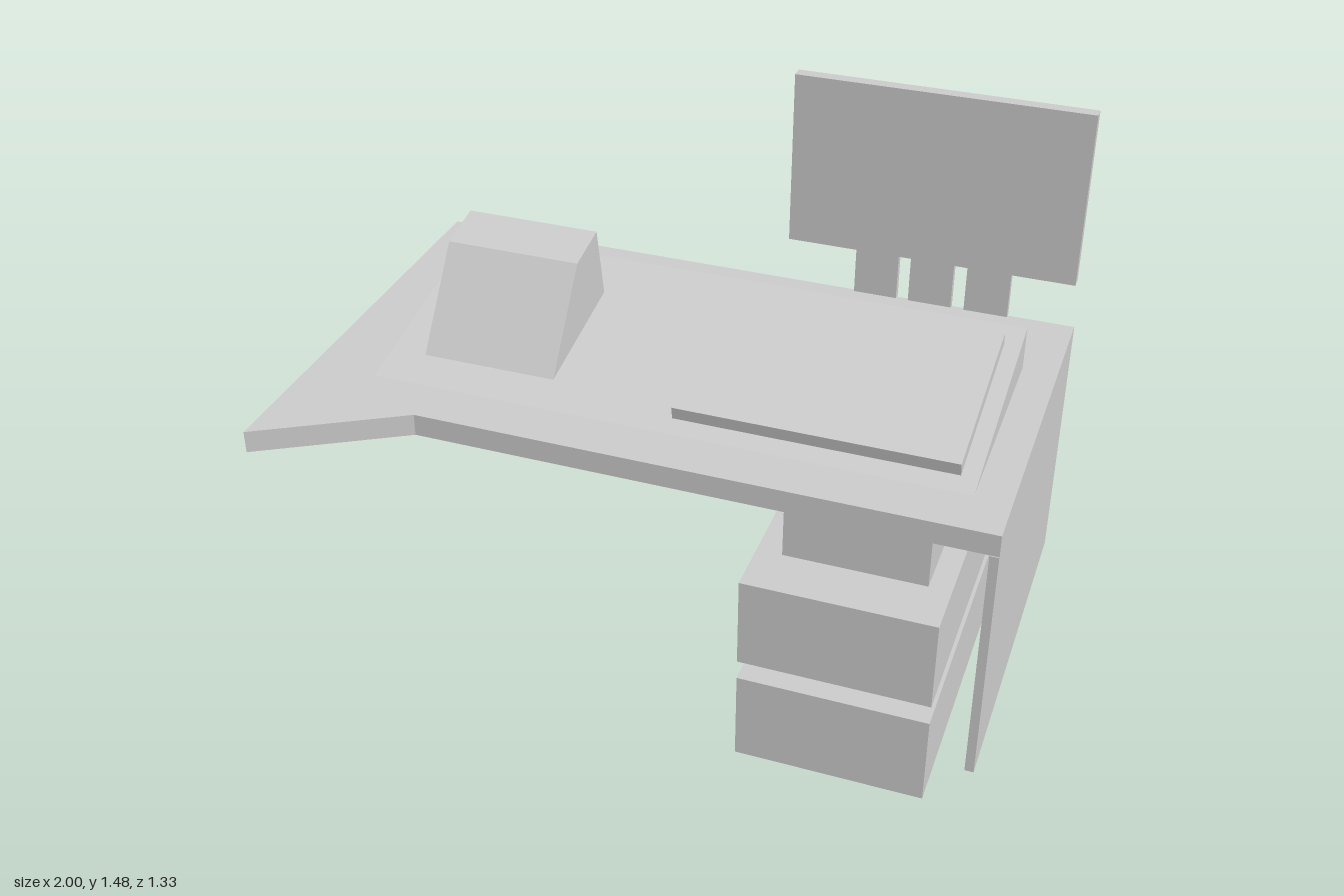
import * as THREE from 'three';

const material = new THREE.MeshStandardMaterial({ color: 0xcccccc, flatShading: true });

const toShape = (points) => new THREE.Shape(points.map(([a, b]) => new THREE.Vector2(a, b)));
const extrude = (points, depth) =>
  new THREE.ExtrudeGeometry(toShape(points), { depth, bevelEnabled: false });

export function createModel() {
  const model = new THREE.Group();
  model.name = 'desk';

  const add = (name, geometry) => {
    const mesh = new THREE.Mesh(geometry, material);
    mesh.name = name;
    model.add(mesh);
  };

  // Box given by its limits on each axis
  const box = (name, [x0, x1], [y0, y1], [z0, z1]) =>
    add(name, new THREE.BoxGeometry(x1 - x0, y1 - y0, z1 - z0)
      .translate((x0 + x1) / 2, (y0 + y1) / 2, (z0 + z1) / 2));

  // Side profile of [z, y] points, swept from x0 to x1
  const sweep = (name, profile, x0, x1) =>
    add(name, extrude(profile, x1 - x0).rotateY(-Math.PI / 2).translate(x1, 0, 0));

  // Desktop with a flared front corner, drawn as [x, -z]
  const outline = [[-1, -0.66], [-0.61, -0.43], [1, -0.43], [1, 0.65], [-1, 0.65]];
  add('desktop', extrude(outline, 0.065).rotateX(-Math.PI / 2).translate(0, 0.727, 0));

  // Side panel and sloping back brace
  box('sidePanel', [0.975, 1], [0, 0.727], [-0.65, 0.433]);
  add('backBrace', extrude([[-0.075, 0], [0.975, 0], [0.975, 0.265], [0.37, 0.265]], 0.04)
    .translate(0, 0, -0.65));

  // Drawers, each with a narrower spacer above
  box('lowerDrawer', [0.37, 0.892], [0, 0.265], [-0.47, 0.575]);
  box('lowerSpacer', [0.44, 0.83], [0.265, 0.322], [-0.345, 0.425]);
  box('upperDrawer', [0.37, 0.892], [0.322, 0.585], [-0.47, 0.575]);
  box('upperSpacer', [0.44, 0.83], [0.585, 0.727], [-0.345, 0.425]);

  // Sloped writing surface with the objects resting on it
  sweep('slopedStand', [[0.285, 0.792], [-0.372, 0.792], [-0.372, 0.921]], -0.807, 0.9);
  sweep('tablet', [[0.225, 0.804], [-0.293, 0.906], [-0.286, 0.944], [0.232, 0.842]], 0.062, 0.852);
  sweep('console', [[0.17, 0.814], [-0.215, 0.89], [-0.17, 1.11], [-0.025, 1.081]], -0.703, -0.309);

  // Screen held up by three slats at the back
  box('screen', [0.135, 0.992], [0.953, 1.48], [-0.64, -0.603]);
  for (const x of [0.4, 0.567, 0.737]) {
    box('screenSlat', [x - 0.065, x + 0.065], [0.735, 1.13], [-0.665, -0.64]);
  }

  return model;
}
